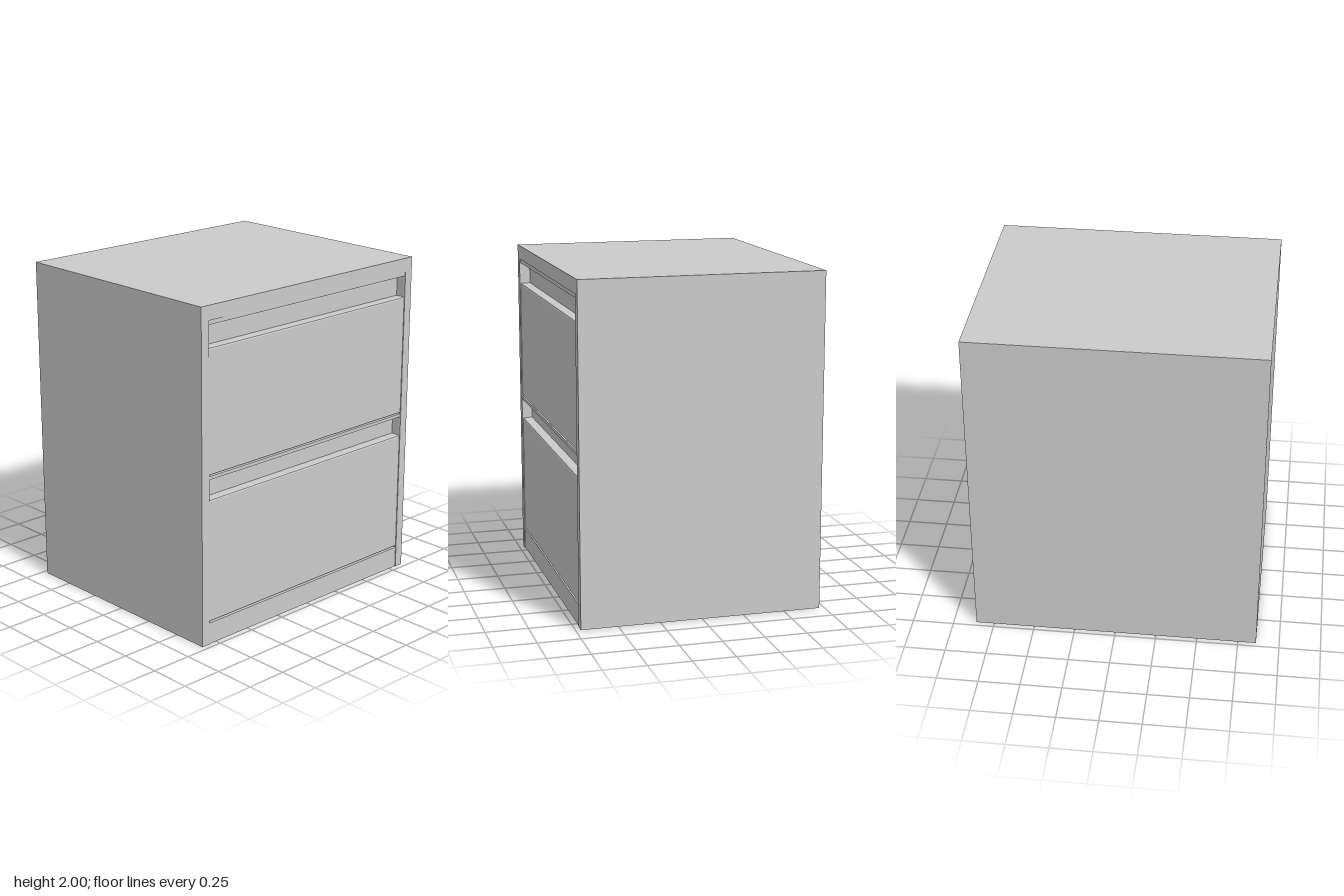
import * as THREE from 'three';

const material = new THREE.MeshStandardMaterial({ color: 0xcccccc });

// Adds a box given by its min and max corners
function addPanel(group, name, [x0, y0, z0], [x1, y1, z1]) {
  const mesh = new THREE.Mesh(new THREE.BoxGeometry(x1 - x0, y1 - y0, z1 - z0), material);
  mesh.name = name;
  mesh.position.set((x0 + x1) / 2, (y0 + y1) / 2, (z0 + z1) / 2);
  group.add(mesh);
}

// Extrudes a (z, y) profile along x, centred on x = 0
function addProfile(group, name, points, width) {
  const shape = new THREE.Shape(points.map(([z, y]) => new THREE.Vector2(-z, y)));
  const geometry = new THREE.ExtrudeGeometry(shape, { depth: width, bevelEnabled: false });
  geometry.translate(0, 0, -width / 2);
  geometry.rotateY(Math.PI / 2);
  const mesh = new THREE.Mesh(geometry, material);
  mesh.name = name;
  group.add(mesh);
}

export function createModel() {
  const cabinet = new THREE.Group();
  cabinet.name = 'drawerCabinet';

  const W = 0.86, D = 0.72, inner = 0.805, topY = 1.915, backZ = -0.66;

  // Carcass
  addPanel(cabinet, 'top', [-W, topY, -D], [W, 2, D]);
  addPanel(cabinet, 'backPanel', [-W, 0, -D], [W, topY, backZ]);
  addPanel(cabinet, 'leftSide', [inner, 0, backZ], [W, topY, D]);
  addPanel(cabinet, 'rightSide', [-W, 0, backZ], [-inner, topY, D]);
  addPanel(cabinet, 'bottom', [-inner, 0, backZ], [inner, 0.06, 0.66]);

  // Plinth and horizontal rails
  addPanel(cabinet, 'plinth', [-inner, 0, 0.66], [inner, 0.13, 0.715]);
  addPanel(cabinet, 'middleRail', [-inner, 1.0, 0.6], [inner, 1.02, 0.715]);
  addPanel(cabinet, 'topRail', [-inner, 1.89, 0.6], [inner, topY, 0.715]);

  // Drawers: a front with a softened top edge, and a set-back finger recess above it
  const drawers = [['lowerDrawer', 0.143, 0.88, 1.0], ['upperDrawer', 1.03, 1.76, 1.89]];
  for (const [name, y0, y1, y2] of drawers) {
    addProfile(cabinet, name, [
      [0.6, y0], [0.715, y0], [0.715, y1 - 0.01], [0.712, y1 - 0.003], [0.705, y1],
      [0.655, y1], [0.655, y2], [0.6, y2],
    ], inner * 2);
  }

  // Backing behind the narrow gaps
  addPanel(cabinet, 'gapBacking', [-inner, 0.06, 0.58], [inner, topY, 0.61]);
  return cabinet;
}
